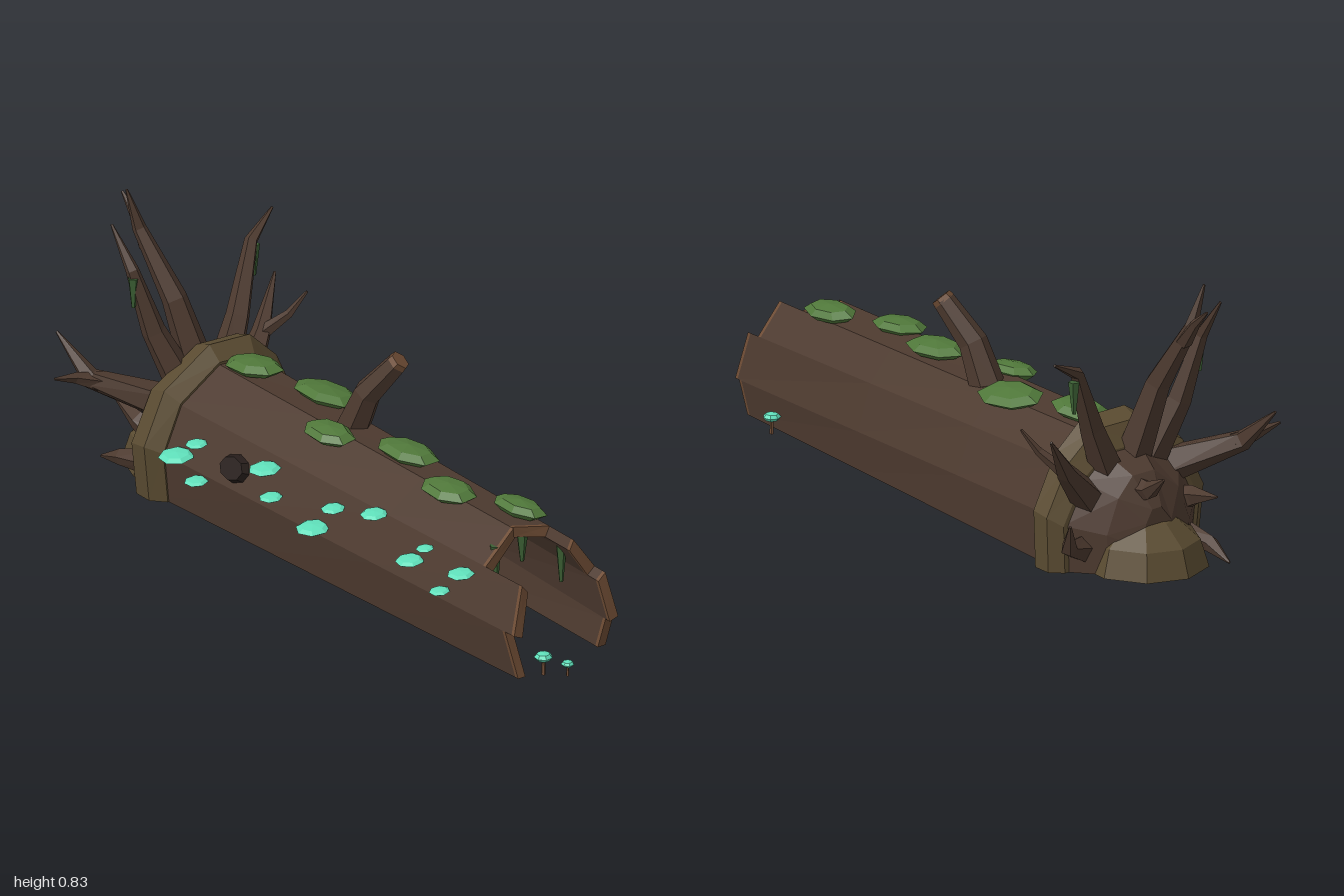
import * as THREE from 'three';

const V = (x, y, z) => new THREE.Vector3(x, y, z);
const mat = (color) => new THREE.MeshStandardMaterial({ color, flatShading: true });
const BARK = mat(0x4d3a2f), DARK = mat(0x382c28), WOOD = mat(0x6e4c34), SOIL = mat(0x5a4b31);
const MOSS = mat(0x50783a), VINE = mat(0x3c6034), GLOW = mat(0x5fdfba), KNOT = mat(0x271e1b);

// Joins rings of equal point count and closes both ends
function loft(rings) {
  const pos = [], n = rings[0].length;
  const tri = (...p) => p.forEach((v) => pos.push(v.x, v.y, v.z));
  const mid = (r) => r.reduce((s, p) => s.add(p), V(0, 0, 0)).divideScalar(n);
  const last = rings[rings.length - 1], c0 = mid(rings[0]), c1 = mid(last);
  for (let i = 0; i < n; i++) {
    const j = (i + 1) % n;
    for (let k = 0; k + 1 < rings.length; k++) {
      const a = rings[k], b = rings[k + 1];
      tri(a[i], b[i], b[j]);
      tri(a[i], b[j], a[j]);
    }
    tri(c0, rings[0][i], rings[0][j]);
    tri(c1, last[j], last[i]);
  }
  const g = new THREE.BufferGeometry();
  g.setAttribute('position', new THREE.Float32BufferAttribute(pos, 3));
  g.computeVertexNormals();
  return g;
}

// Tapered, angular limb through the given points
function limb(pts, r0, r1, sides = 5) {
  const up = V(0, 1, 0), n = pts.length - 1;
  return loft(pts.map((p, k) => {
    const dir = pts[Math.min(k + 1, n)].clone().sub(pts[Math.max(k - 1, 0)]).normalize();
    const q = new THREE.Quaternion().setFromUnitVectors(up, dir);
    const r = r0 + (r1 - r0) * k / n;
    return Array.from({ length: sides }, (_, i) => {
      const a = i / sides * Math.PI * 2;
      return V(Math.cos(a) * r, 0, Math.sin(a) * r).applyQuaternion(q).add(p);
    });
  }));
}

// Log outline (offset across the log, height) at the root end and the broken end
const ROOT_END = [[.21, 0], [.225, .15], [.165, .285], [.03, .372], [-.09, .365], [-.17, .285], [-.23, .15], [-.225, 0]];
const OPEN_END = [[.16, 0], [.182, .14], [.13, .27], [.02, .347], [-.09, .33], [-.155, .235], [-.185, .1], [-.17, 0]];
const centreZ = (x) => 0.11 * (x + 0.65);
function logPoint(i, x, su = 1, sy = su) {
  const t = (x + 0.65) / 1.55, a = ROOT_END[i], b = OPEN_END[i];
  const u = (a[0] + (b[0] - a[0]) * t) * su;
  return V(x - 0.11 * u, (a[1] + (b[1] - a[1]) * t) * sy, centreZ(x) + u);
}
const logRing = (x, su, sy) => ROOT_END.map((_, i) => logPoint(i, x, su, sy));

export function createModel() {
  const model = new THREE.Group();
  const add = (name, geometry, material, parent = model) => {
    const m = new THREE.Mesh(geometry, material);
    m.name = name;
    parent.add(m);
    return m;
  };
  const group = (name) => {
    const g = new THREE.Group();
    g.name = name;
    model.add(g);
    return g;
  };

  // Solid part of the log and the dark end of the hollow
  const HOLLOW = 0.3;
  add('logBody', loft([logRing(-0.66), logRing(-0.2), logRing(HOLLOW)]), BARK);
  add('hollowEnd', loft([logRing(HOLLOW, 0.9), logRing(HOLLOW + 0.01, 0.9)]), DARK);

  // Broken hollow end: one splintered plank per side, with pale wood at the break
  const planks = group('hollowWall');
  const ends = [[.91, .88], [.92, .89], [.73, .71], [.7, .73], [.84, .85], [.9, .92], [.9, .88]];
  ends.forEach(([ea, eb], i) => {
    const ring = (xa, xb) => [logPoint(i, xa), logPoint(i + 1, xb),
      logPoint(i + 1, xb, 0.84, 0.91), logPoint(i, xa, 0.84, 0.91)];
    add('plank', loft([ring(HOLLOW, HOLLOW), ring(ea - 0.012, eb - 0.012)]), BARK, planks);
    add('brokenEdge', loft([ring(ea - 0.012, eb - 0.012), ring(ea, eb)]), WOOD, planks);
  });

  // Flared collar, root plate and soil mound
  add('rootCollar', loft([logRing(-.74, 1, .9), logRing(-.71, 1.16, 1.07), logRing(-.65, 1.18, 1.13), logRing(-.61, 1.02, 1.02)]), SOIL);
  add('rootPlate', loft([logRing(-.87, .25, .5), logRing(-.82, .6, .75), logRing(-.73, .98, .9)]), BARK);
  const mound = add('soilMound', new THREE.SphereGeometry(1, 9, 3, 0, Math.PI * 2, 0, Math.PI / 2), SOIL);
  mound.scale.set(0.19, 0.16, 0.18);
  mound.position.set(-0.79, 0, -0.01);
  const base = add('soilMoundBase', new THREE.CircleGeometry(1, 9).rotateX(Math.PI / 2), SOIL);
  base.scale.copy(mound.scale);
  base.position.copy(mound.position);

  // Roots: points, start radius
  const roots = group('roots');
  [
    [[V(-.72, .28, .0), V(-.79, .52, .04), V(-.9, .71, .07), V(-.92, .83, .1)], .055],
    [[V(-.88, .66, .06), V(-.94, .73, .05), V(-1, .78, .04)], .024],
    [[V(-.72, .28, .07), V(-.78, .45, .13), V(-.82, .64, .175), V(-.9, .755, .178)], .052],
    [[V(-.72, .26, -.08), V(-.74, .42, -.16), V(-.78, .61, -.25), V(-.81, .665, -.36)], .052],
    [[V(-.71, .18, -.13), V(-.77, .32, -.28), V(-.83, .45, -.39)], .055],
    [[V(-.765, .32, -.28), V(-.71, .38, -.33), V(-.68, .445, -.37)], .022],
    [[V(-.72, .06, -.17), V(-.78, .1, -.28), V(-.82, .18, -.31)], .045],
    [[V(-.72, .24, .12), V(-.88, .32, .28), V(-1, .43, .295)], .058],
    [[V(-.86, .31, .26), V(-.89, .335, .33), V(-.9, .35, .4)], .03],
    [[V(-.7, .12, .13), V(-.82, .17, .15), V(-.94, .2, .13)], .055],
    [[V(-.74, .22, -.03), V(-.86, .24, -.05), V(-.93, .29, -.06)], .05],
    [[V(-.74, .06, .14), V(-.88, .04, .16), V(-.97, .01, .15)], .045],
  ].forEach(([pts, r]) => add('root', limb(pts, r, 0.004), BARK, roots));

  // Branch stub with a cut end
  add('branchStub', limb([V(-.11, .33, .01), V(-.055, .46, 0), V(.03, .57, -.035)], .052, .032, 6), BARK);
  add('branchCut', limb([V(.028, .567, -.034), V(.037, .579, -.039)], .033, .03, 6), WOOD);

  // Knot hole on the front
  const knot = add('knotHole', new THREE.CylinderGeometry(0.045, 0.06, 0.035, 8), KNOT);
  knot.rotation.set(1.2, 0, 0);
  knot.scale.set(1, 1, 0.75);
  knot.position.set(-0.345, 0.205, 0.235);

  // Moss pads along the top: x, y, z, half length, half width
  const moss = group('mossPads');
  [
    [-.52, .385, -.01, .1, .068], [-.27, .37, -.05, .115, .078], [-.09, .362, .115, .09, .056],
    [.17, .372, .06, .11, .065], [.41, .358, .135, .095, .064], [.63, .358, .07, .095, .056],
  ].forEach(([x, y, z, rx, rz], i) => {
    const pad = add('mossPad', new THREE.SphereGeometry(1, 7, 4), MOSS, moss);
    pad.scale.set(rx, 0.024, rz);
    pad.rotation.x = (z - centreZ(x)) * 1.8;
    pad.rotation.z = i === 0 ? 0.08 : -0.03;
    pad.position.set(x, y, z);
  });

  // Hanging moss: x, top y, z, length
  const vines = group('hangingMoss');
  [
    [.69, .31, .225, .16], [.7, .315, .13, .08], [.78, .29, .055, .115],
    [-.81, .62, .18, .09], [-.785, .59, -.265, .095],
  ].forEach(([x, y, z, len]) => {
    const v = add('mossStrand', new THREE.CylinderGeometry(0.017, 0.006, len, 5), VINE, vines);
    v.position.set(x, y - len / 2, z);
  });

  // Shelf fungi on the front: x, y, z, radius
  const shelves = group('shelfFungi');
  [
    [-.56, .18, .255, .052], [-.5, .23, .235, .032], [-.47, .135, .265, .035], [-.21, .255, .25, .047],
    [-.155, .195, .28, .034], [.035, .17, .3, .05], [.09, .24, .275, .035], [.25, .275, .27, .04],
    [.44, .21, .315, .042], [.49, .26, .305, .026], [.59, .175, .345, .03], [.65, .24, .32, .04],
  ].forEach(([x, y, z, r], i) => {
    const f = add('shelfFungus', new THREE.SphereGeometry(1, 7, 4), GLOW, shelves);
    f.scale.set(r, r * 0.24, r);
    f.rotation.set(0.1, i, 0);
    f.position.set(x, y, z);
  });

  // Small standing mushrooms: x, cap y, z, radius
  const mushrooms = group('mushrooms');
  [[.92, .055, .26, .027], [.973, .037, .217, .019], [.73, .05, -.06, .026]].forEach(([x, y, z, r]) => {
    const stem = add('mushroomStem', new THREE.CylinderGeometry(r * 0.18, r * 0.24, y, 5), WOOD, mushrooms);
    stem.position.set(x, y / 2, z);
    const cap = add('mushroomCap', new THREE.SphereGeometry(1, 7, 4), GLOW, mushrooms);
    cap.scale.set(r, r * 0.5, r);
    cap.position.set(x, y, z);
  });

  return model;
}
